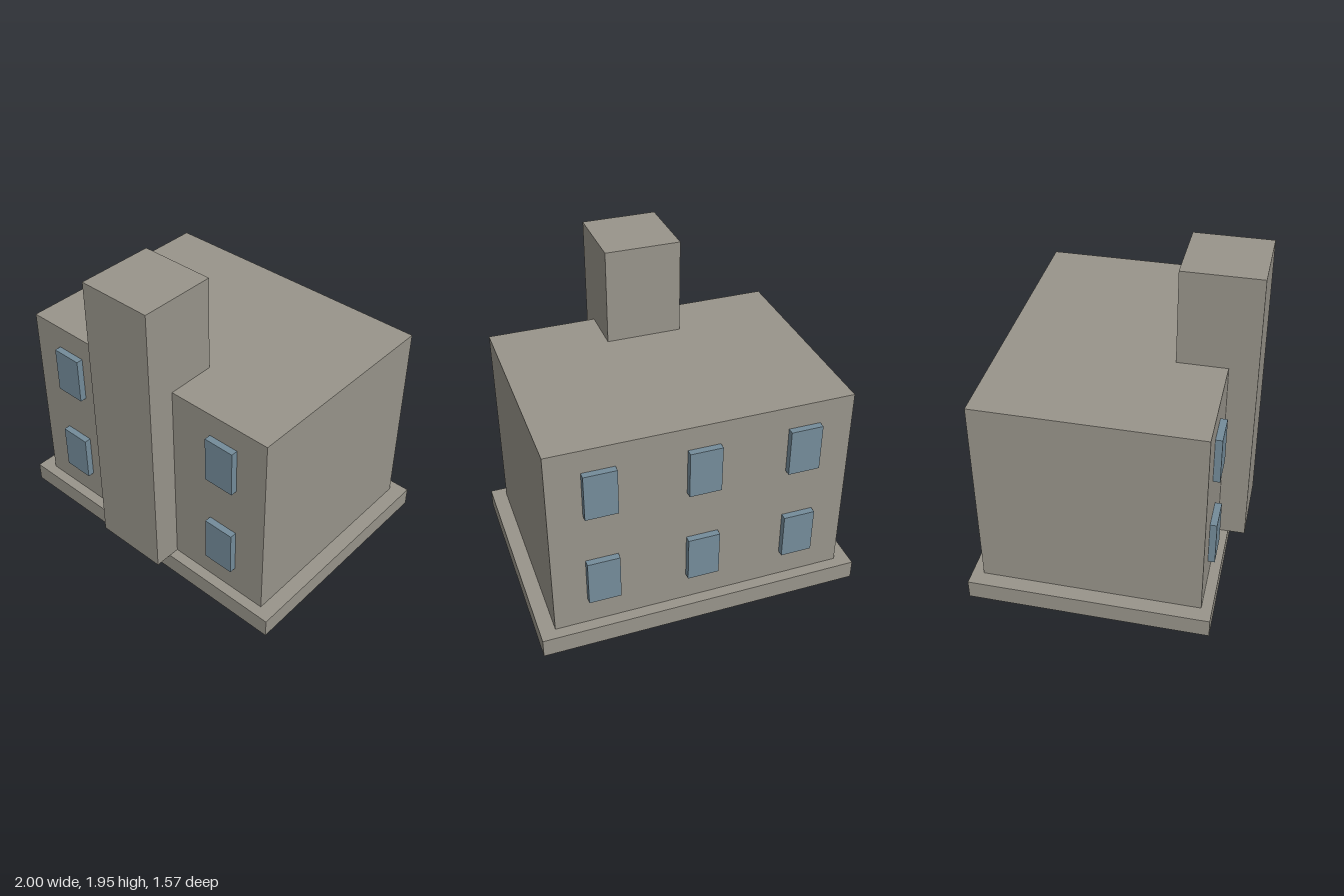
import * as THREE from 'three';

const stone = new THREE.MeshStandardMaterial({ color: 0x98948a });
stone.name = 'stone';
const glass = new THREE.MeshStandardMaterial({ color: 0x748c9a });
glass.name = 'glass';

// Box given by its extents along each axis
function block(name, material, [x0, x1], [y0, y1], [z0, z1]) {
  const mesh = new THREE.Mesh(new THREE.BoxGeometry(x1 - x0, y1 - y0, z1 - z0), material);
  mesh.position.set((x0 + x1) / 2, (y0 + y1) / 2, (z0 + z1) / 2);
  mesh.name = name;
  return mesh;
}

export function createModel() {
  const building = new THREE.Group();
  building.name = 'building';

  const floor = 0.12, front = 0.615, back = -0.715;

  // Plinth, main block and the tower that projects from the front
  building.add(
    block('plinth', stone, [-1, 1], [0, floor], [-0.785, 0.68]),
    block('mainBlock', stone, [-0.907, 0.907], [floor, 1.362], [back, front]),
    block('tower', stone, [-0.233, 0.233], [floor, 1.953], [0.312, 0.785]),
  );

  // Two storeys of projecting windows: two columns in front, three behind
  const half = 0.097, depth = 0.041;
  const windows = new THREE.Group();
  windows.name = 'windows';
  for (const storey of [[0.302, 0.594], [0.922, 1.216]]) {
    for (const x of [-0.607, 0, 0.607]) {
      const span = [x - half, x + half];
      if (x !== 0) windows.add(block('frontWindow', glass, span, storey, [front, front + depth]));
      windows.add(block('backWindow', glass, span, storey, [back - depth, back]));
    }
  }
  building.add(windows);
  return building;
}
